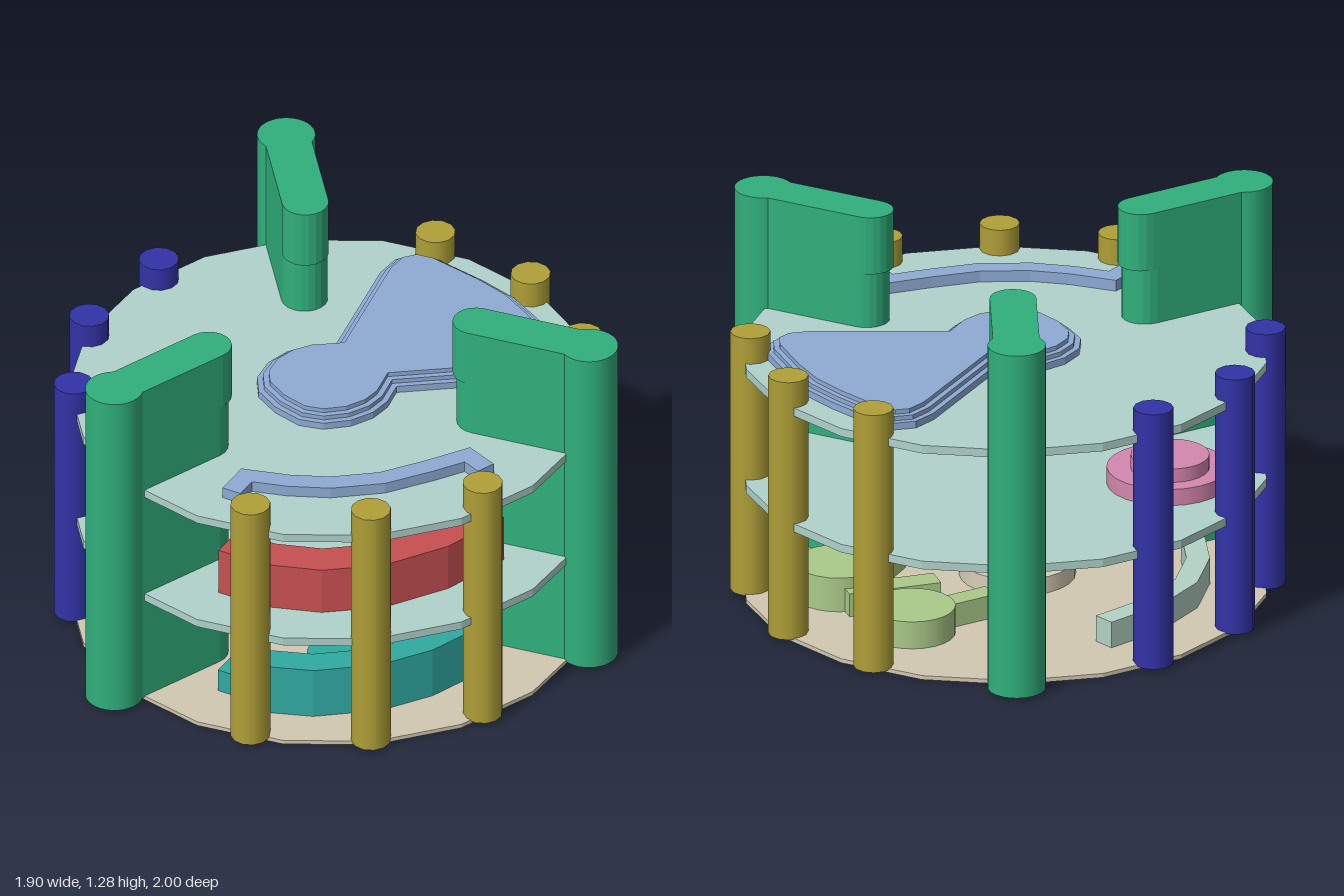
import * as THREE from 'three';

const material = (color) => new THREE.MeshStandardMaterial({ color, side: THREE.DoubleSide });
const MAT = {
  green: material(0x30b07c), gold: material(0xb0a038), blue: material(0x3333a8),
  plate: material(0xb0d2cb), floor: material(0xd2c9b2), pool: material(0x8eabd4),
  red: material(0xc85052), teal: material(0x30aaa2), pink: material(0xd488ae),
  mint: material(0xb4d2c4), lime: material(0xaccb8a), sand: material(0xd8cfb8),
};
const CENTRE_Z = -0.05;

function add(parent, name, geometry, mat, x = 0, y = 0, z = 0) {
  const mesh = new THREE.Mesh(geometry, mat);
  mesh.name = name;
  mesh.position.set(x, y, z);
  parent.add(mesh);
  return mesh;
}

// Upright cylinder standing on y0
function drum(parent, name, mat, x, z, r, y0, y1, sides = 24) {
  return add(parent, name, new THREE.CylinderGeometry(r, r, y1 - y0, sides), mat, x, (y0 + y1) / 2, z);
}

// Plan outline of [x, z] points raised from y0 to y1
function slab(parent, name, mat, outline, y0, y1) {
  const shape = new THREE.Shape(outline.map(([x, z]) => new THREE.Vector2(x, -z)));
  const geometry = new THREE.ExtrudeGeometry(shape, { depth: y1 - y0, bevelEnabled: false });
  geometry.rotateX(-Math.PI / 2);
  return add(parent, name, geometry, mat, 0, y0, 0);
}

// Shift a polyline sideways by distance d, with mitred corners
function offset(points, d, closed = false) {
  const n = points.length;
  const at = (i) => points[closed ? (i + n) % n : Math.min(n - 1, Math.max(0, i))];
  const normal = (a, b) => new THREE.Vector2(b[1] - a[1], a[0] - b[0]).normalize();
  return points.map((p, i) => {
    const n1 = normal(at(i - 1), p), n2 = normal(p, at(i + 1));
    const m = n1.clone().add(n2).normalize();
    const k = d / Math.max(0.5, m.dot(n1.lengthSq() ? n1 : n2));
    return [p[0] + m.x * k, p[1] + m.y * k];
  });
}

// Wall of constant width along a path
function wall(parent, name, mat, path, width, y0, y1) {
  const outline = [...offset(path, width / 2), ...offset(path, -width / 2).reverse()];
  return slab(parent, name, mat, outline, y0, y1);
}

// Fin with a rounded inner end, pointing inward from its round column
function finOutline(inner) {
  const pts = [[0.08, 0.95], [0.08, inner]];
  for (let i = 1; i < 10; i++) {
    const a = (i / 10) * Math.PI;
    pts.push([0.08 * Math.cos(a), inner - 0.08 * Math.sin(a)]);
  }
  pts.push([-0.08, inner], [-0.08, 0.95]);
  return pts;
}

export function createModel() {
  const model = new THREE.Group();
  model.name = 'tieredPavilion';

  // Floor and two upper decks
  const decks = [['floorDeck', MAT.floor, 0, 0.015], ['middleDeck', MAT.plate, 0.41, 0.44], ['topDeck', MAT.plate, 0.84, 0.87]];
  for (const [name, mat, y0, y1] of decks) {
    const deck = drum(model, name, mat, 0.005, CENTRE_Z - 0.01, 0.905, y0, y1, 18);
    deck.material = mat.clone();
    deck.material.flatShading = true;
  }

  // Three tall columns with inward fins
  for (let i = 0; i < 3; i++) {
    const support = new THREE.Group();
    support.name = 'finnedColumn';
    support.position.z = CENTRE_Z;
    support.rotation.y = (i * 2 * Math.PI) / 3;
    drum(support, 'column', MAT.green, 0, 0.95, 0.1, 0.01, 1.28, 32);
    slab(support, 'finBase', MAT.green, finOutline(0.55), 0.01, 1.07);
    slab(support, 'finTop', MAT.green, finOutline(0.535), 1.07, 1.28);
    model.add(support);
  }

  // Slim posts around the rim
  const goldPosts = [[0, -0.935], [0.4, -0.84], [-0.4, -0.84], [0.88, -0.01], [0.765, 0.39], [0.48, 0.69]];
  const bluePosts = [[-0.88, -0.01], [-0.765, 0.39], [-0.48, 0.69]];
  goldPosts.forEach(([x, z]) => drum(model, 'goldPost', MAT.gold, x, z, 0.069, 0.01, 0.965, 12));
  bluePosts.forEach(([x, z]) => drum(model, 'bluePost', MAT.blue, x, z, 0.069, 0.01, 0.955, 12));

  // Stepped keyhole pool on the top deck
  const half = [[0.14, -0.845], [0.34, -0.805], [0.41, -0.765], [0.435, -0.69], [0.405, -0.6], [0.165, -0.21],
    [0.215, -0.13], [0.235, -0.05], [0.225, 0.04], [0.18, 0.125], [0.11, 0.175]];
  const keyhole = [[0, -0.86], ...half, [0, 0.19], ...half.map(([x, z]) => [-x, z]).reverse()];
  for (let i = 0; i < 3; i++) {
    slab(model, 'poolStep', MAT.pool, offset(keyhole, -0.02 * i, true), 0.87, 0.895 + i * 0.016);
  }

  // Curved bench on the top deck
  const bench = [[0.755, -0.125], [0.655, -0.125], [0.625, 0.02], [0.58, 0.19], [0.49, 0.345], [0.39, 0.45], [0.275, 0.54], [0.315, 0.64]];
  wall(model, 'topBench', MAT.pool, bench, 0.07, 0.87, 0.91);

  // Red curved counter on the middle deck
  const counter = [[0.21, 0.57], [0.36, 0.51], [0.5, 0.39], [0.6, 0.22], [0.645, 0.0], [0.63, -0.25]];
  wall(model, 'redCounter', MAT.red, counter, 0.13, 0.44, 0.615);

  // Pink stepped seat on the middle deck
  drum(model, 'pinkSeatBase', MAT.pink, -0.425, 0.33, 0.21, 0.44, 0.5);
  drum(model, 'pinkSeatTop', MAT.pink, -0.44, 0.33, 0.135, 0.5, 0.55);

  // Teal wall with a low step on the floor
  const tealPath = [[0.34, 0.575], [0.5, 0.43], [0.61, 0.24], [0.65, 0.06], [0.645, -0.115]];
  wall(model, 'tealWall', MAT.teal, tealPath, 0.1, 0.015, 0.205);
  wall(model, 'tealStep', MAT.teal, [[0.19, 0.56], [0.34, 0.5], [0.46, 0.36]], 0.12, 0.015, 0.1);
  drum(model, 'tealStool', MAT.teal, 0.47, 0.33, 0.08, 0.015, 0.19);

  // Mint bench opposite the teal wall
  const mintPath = [[-0.67, -0.08], [-0.63, 0.14], [-0.53, 0.34], [-0.38, 0.48], [-0.2, 0.57]];
  wall(model, 'mintBench', MAT.mint, mintPath, 0.08, 0.015, 0.11);

  // Round sand-coloured dais in the middle of the floor
  drum(model, 'daisBase', MAT.sand, 0.02, 0, 0.2, 0.015, 0.075);
  drum(model, 'daisTop', MAT.sand, 0.02, 0, 0.13, 0.075, 0.095);

  // Pale green tables and bars at the back
  drum(model, 'backTable', MAT.lime, -0.23, -0.58, 0.15, 0.015, 0.115);
  drum(model, 'backTable', MAT.lime, 0.18, -0.62, 0.15, 0.015, 0.14);
  wall(model, 'backBar', MAT.lime, [[0.04, -0.68], [-0.04, -0.36]], 0.09, 0.015, 0.1);
  wall(model, 'backBar', MAT.lime, [[-0.23, -0.5], [-0.23, -0.26]], 0.08, 0.015, 0.1);
  wall(model, 'backBar', MAT.lime, [[0.18, -0.5], [0.3, -0.32]], 0.08, 0.015, 0.1);

  return model;
}
